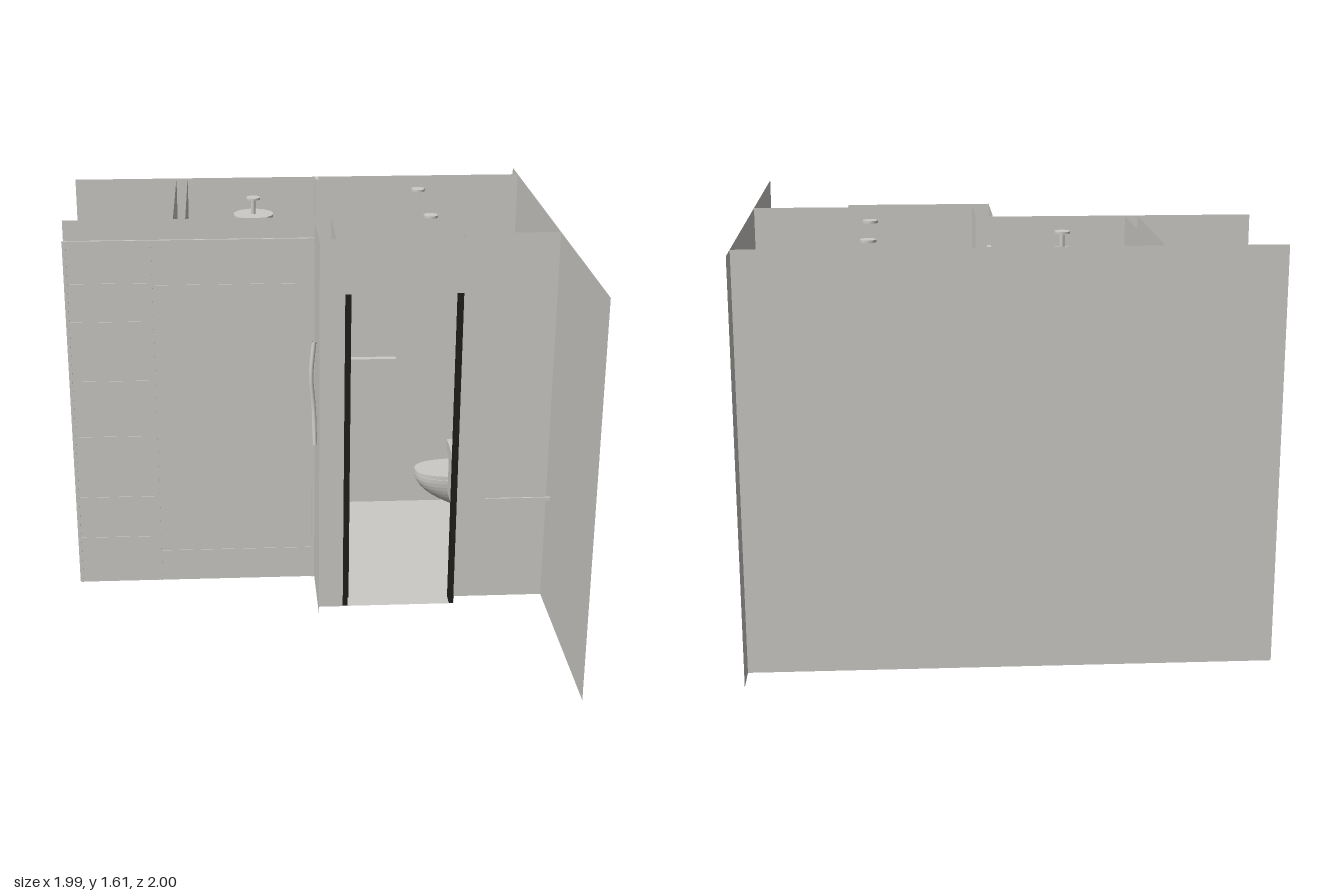
import * as THREE from 'three';
import { RoundedBoxGeometry } from 'three/addons/geometries/RoundedBoxGeometry.js';

const H = 1.61; // wall height

export function createModel() {
  const root = new THREE.Group();
  root.name = 'bathroom';
  const grey = new THREE.MeshStandardMaterial({ color: 0xcccac5, side: THREE.DoubleSide });
  grey.name = 'warm grey';
  const black = new THREE.MeshStandardMaterial({ color: 0x1f1f1a });
  black.name = 'door black';

  const add = (name, geo, x = 0, y = 0, z = 0, mat = grey, parent = root) => {
    const m = new THREE.Mesh(geo, mat);
    m.name = name;
    m.position.set(x, y, z);
    parent.add(m);
    return m;
  };
  // box given by its limits on each axis
  const box = (name, x0, x1, y0, y1, z0, z1, mat = grey, parent = root) =>
    add(name, new THREE.BoxGeometry(x1 - x0, y1 - y0, z1 - z0),
      (x0 + x1) / 2, (y0 + y1) / 2, (z0 + z1) / 2, mat, parent);
  // single-sheet walls along x, along z, and level sheets
  const wallX = (name, x0, x1, z, y0 = 0, y1 = H) =>
    add(name, new THREE.PlaneGeometry(x1 - x0, y1 - y0), (x0 + x1) / 2, (y0 + y1) / 2, z);
  const wallZ = (name, x, z0, z1, y0 = 0, y1 = H) => {
    const m = add(name, new THREE.PlaneGeometry(z1 - z0, y1 - y0), x, (y0 + y1) / 2, (z0 + z1) / 2);
    m.rotation.y = Math.PI / 2;
  };
  const level = (name, x0, x1, z0, z1, y) => {
    const m = add(name, new THREE.PlaneGeometry(x1 - x0, z1 - z0), (x0 + x1) / 2, y, (z0 + z1) / 2);
    m.rotation.x = -Math.PI / 2;
  };
  const disc = (name, r, h, x, y, z, sides = 32) =>
    add(name, new THREE.CylinderGeometry(r, r, h, sides), x, y, z);
  const tube = (name, pts, r) => add(name, new THREE.TubeGeometry(
    new THREE.CatmullRomCurve3(pts.map(p => new THREE.Vector3(...p))), 20, r, 8));

  // Floor
  level('showerFloor', -0.5, 0.095, -0.87, -0.16, 0.001);
  level('floor', 0.095, 0.99, -0.87, 0.125, 0.001);
  level('threshold', 0.13, 0.605, 0.125, 0.19, 0.001);

  // Outer walls
  wallZ('rightWall', 0.99, -1, 0.995);
  wallX('backWall', -1, 0.99, -0.87);
  wallZ('leftWallOuter', -0.55, -0.87, -0.16);
  wallZ('leftWallInner', -0.5, -0.87, -0.16);
  level('leftWallLedge', -0.55, -0.5, -0.87, -0.16, 1.0);
  wallX('showerFrontWall', -1, 0.095, -0.16);
  wallZ('notchWall', 0.095, -0.16, 0.19);
  wallZ('hallWall', 0.025, -0.095, 0.25);

  // Front wall around the doorway
  wallX('frontWall', 0.605, 0.99, 0.125);
  wallX('frontPier', 0.025, 0.13, 0.19);
  level('pierBase', 0.025, 0.13, 0.125, 0.19, 0.001);
  for (const z of [0.125, 0.19]) wallX('lintel', 0.13, 0.605, z, 1.385);
  wallZ('doorReveal', 0.605, 0.125, 0.19);
  level('doorSoffit', 0.13, 0.605, 0.125, 0.19, 1.385);

  // Black door frame and open door leaf
  box('doorJambLeft', 0.13, 0.15, 0, 1.385, 0.127, 0.188, black);
  box('doorJambRight', 0.585, 0.603, 0, 1.385, 0.127, 0.188, black);
  const door = box('doorLeaf', -0.01, 0.01, 0.005, 1.38, -0.2, 0.2, black);
  door.position.x = 0.158;
  door.position.z = -0.077;
  door.rotation.y = -0.04;
  for (const s of [-1, 1]) box('doorHandle', 0.158 + s * 0.02 - 0.008, 0.158 + s * 0.02 + 0.008, 0.68, 0.695, -0.25, -0.19, black);

  // Wardrobe front with shelf joints and sliding door rails
  wallX('wardrobeFront', -1, 0.025, -0.097, 0, 1.54);
  box('wardrobeTopRail', -1, 0.025, 1.53, 1.54, -0.1, -0.09);
  for (const y of [0.21, 0.4, 0.68, 0.93, 1.19, 1.355])
    box('shelfEdge', -0.985, -0.66, y - 0.004, y + 0.004, -0.1, -0.094);
  for (const y of [0.14, 1.345]) box('doorRail', -0.635, 0.015, y - 0.004, y + 0.004, -0.1, -0.094);
  for (const x of [-0.99, -0.645, 0.018]) box('wardrobeUpright', x - 0.004, x + 0.004, 0, 1.54, -0.1, -0.094);

  // Hanging garment on the hall wall
  tube('hangingGarment', [[0.015, 1.14, 0.04], [0.002, 1.0, 0.06], [0.012, 0.85, 0.07], [0.015, 0.71, 0.1]], 0.01);

  // Outside shelf
  box('outsideShelf', 0.72, 0.99, 0.48, 0.497, 0.205, 0.212);

  // Shower screen and wall stub
  box('screenStub', 0.07, 0.085, 0, H, -0.87, -0.82);
  box('showerScreen', 0.074, 0.08, 0, 1.35, -0.82, -0.22);
  box('screenRail', 0.07, 0.085, 1.335, 1.35, -0.82, -0.22);
  box('screenHandle', 0.08, 0.1, 0.65, 0.8, -0.25, -0.24);

  // Rain shower head and mixer
  disc('showerPlate', 0.085, 0.012, -0.215, 1.53, -0.515);
  disc('showerStem', 0.01, 0.07, -0.215, 1.57, -0.515, 16);
  disc('showerRose', 0.03, 0.008, -0.215, 1.604, -0.515);
  for (const z of [-0.495, -0.385]) {
    const knob = disc('mixerKnob', 0.014, 0.04, -0.475, 0.65, z, 20);
    knob.rotation.z = Math.PI / 2;
  }
  tube('mixerBody', [[-0.47, 0.65, -0.495], [-0.458, 0.65, -0.44], [-0.47, 0.65, -0.385]], 0.009);

  // Ceiling spotlights
  for (const z of [-0.645, -0.19]) disc('spotlight', 0.03, 0.01, 0.51, 1.6, z);

  // Back wall radiator
  box('radiator', 0.15, 0.43, 0.44, 0.745, -0.868, -0.845);
  box('radiatorTop', 0.15, 0.45, 0.74, 0.747, -0.868, -0.835);

  // Wall-hung toilet: outline narrowing towards the bottom
  const outline = new THREE.Shape();
  outline.moveTo(0.97, -0.1);
  outline.lineTo(0.8, -0.115);
  outline.bezierCurveTo(0.62, -0.115, 0.53, -0.08, 0.53, 0);
  outline.bezierCurveTo(0.53, 0.08, 0.62, 0.115, 0.8, 0.115);
  outline.lineTo(0.97, 0.1);
  const slab = (name, y0, y1, shrink) => {
    const g = new THREE.ExtrudeGeometry(outline, { depth: y1 - y0, bevelEnabled: false, curveSegments: 20, steps: 8 });
    g.rotateX(Math.PI / 2);
    const p = g.attributes.position;
    for (let i = 0; i < p.count; i++) {
      const k = 1 - shrink * (p.getY(i) / (y1 - y0)) ** 2;
      p.setX(i, 0.97 + (p.getX(i) - 0.97) * k);
      p.setZ(i, p.getZ(i) * k);
    }
    g.computeVertexNormals();
    add(name, g, 0, y1, -0.675);
  };
  slab('toiletBowl', 0.08, 0.235, 0.4);
  slab('toiletSeat', 0.237, 0.255, 0);
  add('toiletHinge', new RoundedBoxGeometry(0.17, 0.03, 0.2, 3, 0.014), 0.88, 0.26, -0.675);
  box('toiletMount', 0.95, 0.99, 0.1, 0.25, -0.77, -0.58);

  // Vanity with a sunken basin
  box('vanity', 0.65, 0.99, 0.25, 0.46, -0.4, 0.08);
  const top = new THREE.Shape([[0.64, 0.41], [0.99, 0.41], [0.99, -0.09], [0.64, -0.09]].map(p => new THREE.Vector2(...p)));
  top.holes.push(new THREE.Path([[0.69, 0.29], [0.89, 0.29], [0.89, -0.04 + 0.11], [0.86, 0.07], [0.86, 0.04], [0.69, 0.04]]
    .map(p => new THREE.Vector2(...p))));
  const slabTop = add('basinTop', new THREE.ExtrudeGeometry(top, { depth: 0.05, bevelEnabled: false }), 0, 0.461, 0);
  slabTop.rotation.x = -Math.PI / 2;
  tube('tap', [[0.955, 0.5, -0.165], [0.955, 0.58, -0.165], [0.93, 0.6, -0.165], [0.88, 0.59, -0.165]], 0.008);
  disc('tapBase', 0.016, 0.03, 0.955, 0.525, -0.165, 20);
  disc('soapBottle', 0.018, 0.08, 0.91, 0.55, -0.345, 20);
  box('towelBar', 0.935, 0.945, 0.511, 0.525, -0.07, 0.07);
  box('mirror', 0.978, 0.988, 0.7, 1.2, -0.39, 0.07);

  return root;
}
